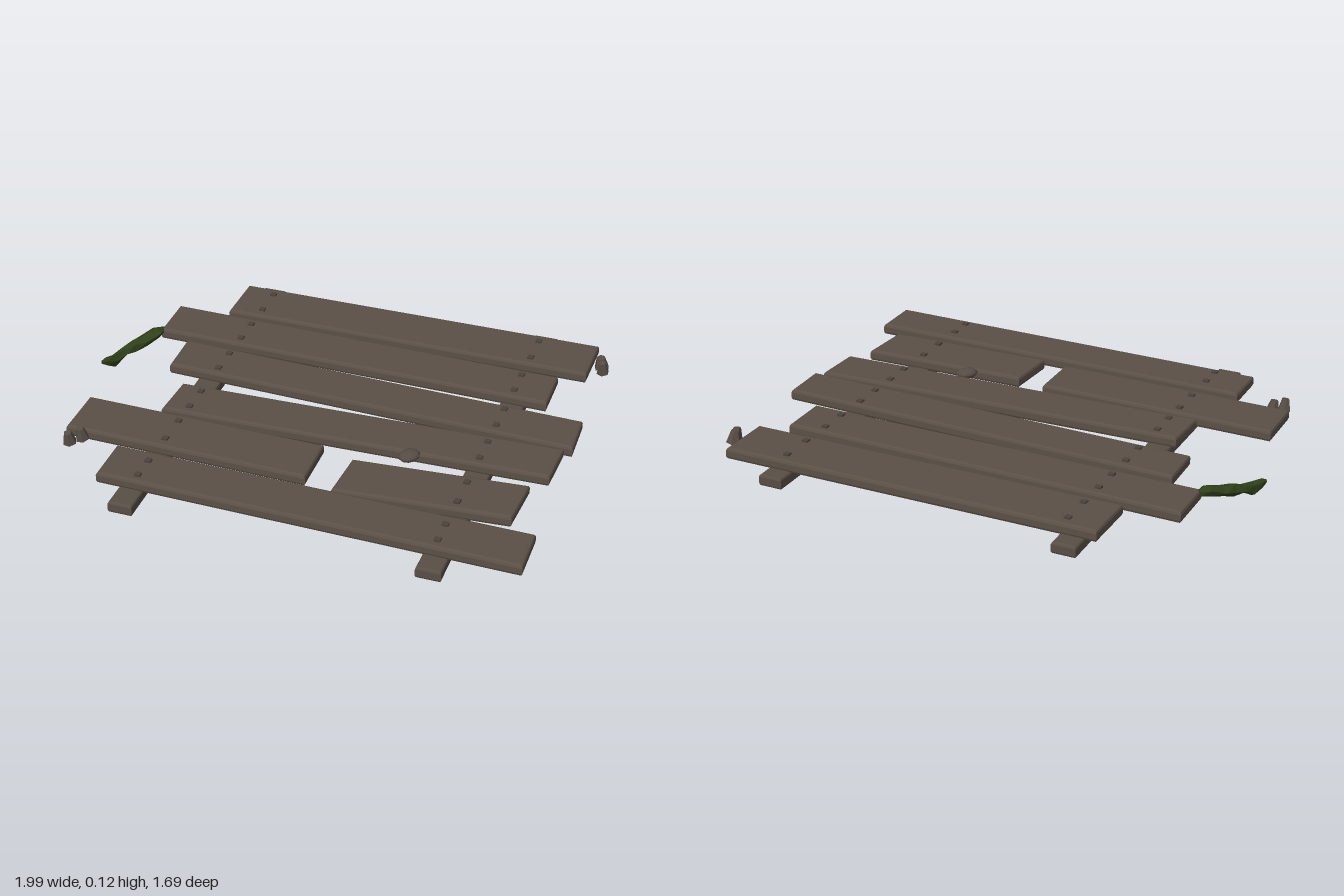
import * as THREE from 'three';

const mat = (name, color) => {
  const m = new THREE.MeshStandardMaterial({ color });
  m.name = name;
  return m;
};

// Chamfered board: corners in plan as [xLeft, zBack, zFront], [xRight, zBack, zFront]
function boardGeometry(corners, y0, y1, bevel) {
  const cx = corners.reduce((s, c) => s + c[0], 0) / 4;
  const cz = corners.reduce((s, c) => s + c[1], 0) / 4;
  const inset = corners.map(([x, z]) =>
    new THREE.Vector2(x - Math.sign(x - cx) * bevel, -(z - Math.sign(z - cz) * bevel)));
  const geo = new THREE.ExtrudeGeometry(new THREE.Shape(inset), {
    depth: y1 - y0 - 2 * bevel, bevelEnabled: true,
    bevelSize: bevel, bevelThickness: bevel, bevelSegments: 2,
  });
  geo.rotateX(-Math.PI / 2);
  geo.translate(0, y0 + bevel, 0);
  return geo;
}

export function createModel() {
  const group = new THREE.Group();
  const wood = mat('weathered wood', 0x5b5046);
  const railWood = mat('rail wood', 0x584e45);
  const iron = mat('nail iron', 0x4a433d);
  const stone = mat('pebble stone', 0x564d45);
  const moss = mat('moss green', 0x2f4019);

  const add = (name, geo, material, parent = group) => {
    const mesh = new THREE.Mesh(geo, material);
    mesh.name = name;
    parent.add(mesh);
    return mesh;
  };

  // Two bearers running front to back; the right-hand one is slightly skewed
  const rails = [[-0.535, -0.512], [0.672, 0.672]];
  rails.forEach(([xb, xf], i) => {
    const w = 0.048;
    add('rail' + (i + 1), boardGeometry(
      [[xb - w, -0.845], [xf - w, 0.845], [xf + w, 0.845], [xb + w, -0.845]],
      0.01, 0.056, 0.009), railWood);
  });

  // Planks: left x, back z, front z; right x, back z, front z; lift at left and right end
  const planks = [
    [-0.63, -0.775, -0.543, 0.91, -0.777, -0.545, 0, 0],
    [-0.84, -0.515, -0.305, 0.81, -0.49, -0.285, 0, 0],
    [-0.70, -0.262, -0.062, 0.98, -0.207, -0.01, 0, 0],
    [-0.595, 0.05, 0.25, 0.95, 0.005, 0.205, 0, 0],
    [-0.897, 0.263, 0.488, 0.088, 0.28, 0.505, 0, 0],
    [0.207, 0.32, 0.54, 0.887, 0.283, 0.503, -0.009, 0.002],
    [-0.655, 0.54, 0.74, 0.99, 0.565, 0.767, 0, 0],
  ];
  planks.forEach(([xl, lb, lf, xr, rb, rf, dl, dr], i) => {
    const skew = ((lb - rb) / (xr - xl)) * 0.1; // keeps the ends near square
    const geo = boardGeometry(
      [[xl + skew, lb], [xl - skew, lf], [xr - skew, rf], [xr + skew, rb]],
      0.05, 0.097, 0.012);
    const p = geo.attributes.position;
    for (let k = 0; k < p.count; k++) {
      const t = (p.getX(k) - xl) / (xr - xl);
      p.setY(k, p.getY(k) + dl + (dr - dl) * t);
    }
    geo.computeVertexNormals();
    add('plank' + (i + 1), geo, wood);
  });

  // Square nail heads, two per plank on each bearer
  const nails = new THREE.Group();
  nails.name = 'nails';
  group.add(nails);
  const nailZ = [-0.725, -0.592, -0.463, -0.345, -0.214, -0.096, 0.09, 0.204, 0.315, 0.445, 0.604, 0.702];
  nailZ.forEach((z, i) => {
    const rightZ = z + (i < 2 ? 0 : i < 4 ? 0.013 : i < 6 ? 0.03 : i < 8 ? -0.032 : i < 10 ? 0.026 : 0.016);
    for (const [x, nz] of [[-0.498, z], [0.668, rightZ]]) {
      add('nail', new THREE.BoxGeometry(0.024, 0.016, 0.024), iron, nails).position.set(x, 0.096, nz);
    }
  });

  // Small faceted pebbles: x, y, z, radius, turn
  const pebbles = [
    [0.945, 0.09, -0.664, 0.031, 0.3], [0.957, 0.086, -0.632, 0.026, 1.1],
    [-0.822, 0.09, 0.508, 0.028, 0.5], [-0.857, 0.088, 0.546, 0.028, 1.4],
  ];
  for (const [x, y, z, r, turn] of pebbles) {
    const geo = new THREE.CylinderGeometry(r * 0.55, r, 0.05, 6).toNonIndexed();
    geo.computeVertexNormals();
    const pebble = add('pebble', geo, stone);
    pebble.position.set(x, y, z);
    pebble.rotation.set(0.1, turn, 0.12);
  }

  // Flattened round stone wedged at a plank edge
  const flat = add('flatStone', new THREE.SphereGeometry(1, 10, 7), stone);
  flat.position.set(0.415, 0.1, 0.248);
  flat.scale.set(0.036, 0.02, 0.046);
  flat.rotation.y = -0.6;

  // Twisted rag of moss hanging off a plank end: x, y, z, half width, half height
  const sections = [
    [-0.835, 0.085, -0.325, 0.012, 0.014], [-0.853, 0.086, -0.29, 0.031, 0.021],
    [-0.89, 0.068, -0.235, 0.036, 0.018], [-0.918, 0.058, -0.19, 0.024, 0.027],
    [-0.942, 0.052, -0.155, 0.022, 0.016], [-0.965, 0.034, -0.105, 0.016, 0.031],
    [-0.985, 0.045, -0.07, 0.012, 0.02], [-0.996, 0.048, -0.052, 0.005, 0.008],
  ];
  const sides = 5, verts = [], index = [];
  sections.forEach(([x, y, z, w, h], i) => {
    for (let k = 0; k < sides; k++) {
      const a = (k / sides) * Math.PI * 2 + i * 0.25;
      const c = Math.cos(a) * w;
      verts.push(x + c * 0.85, y + Math.sin(a) * h, z + c * 0.52);
      const a0 = i * sides + k, a1 = i * sides + (k + 1) % sides;
      if (i < sections.length - 1) index.push(a0, a1, a0 + sides, a1, a1 + sides, a0 + sides);
    }
  });
  const last = (sections.length - 1) * sides;
  for (let k = 1; k < sides - 1; k++) {
    index.push(0, k + 1, k, last, last + k, last + k + 1);
  }
  let rag = new THREE.BufferGeometry();
  rag.setAttribute('position', new THREE.Float32BufferAttribute(verts, 3));
  rag.setIndex(index);
  rag = rag.toNonIndexed();
  rag.computeVertexNormals();
  moss.side = THREE.DoubleSide;
  add('mossRag', rag, moss);

  return group;
}
